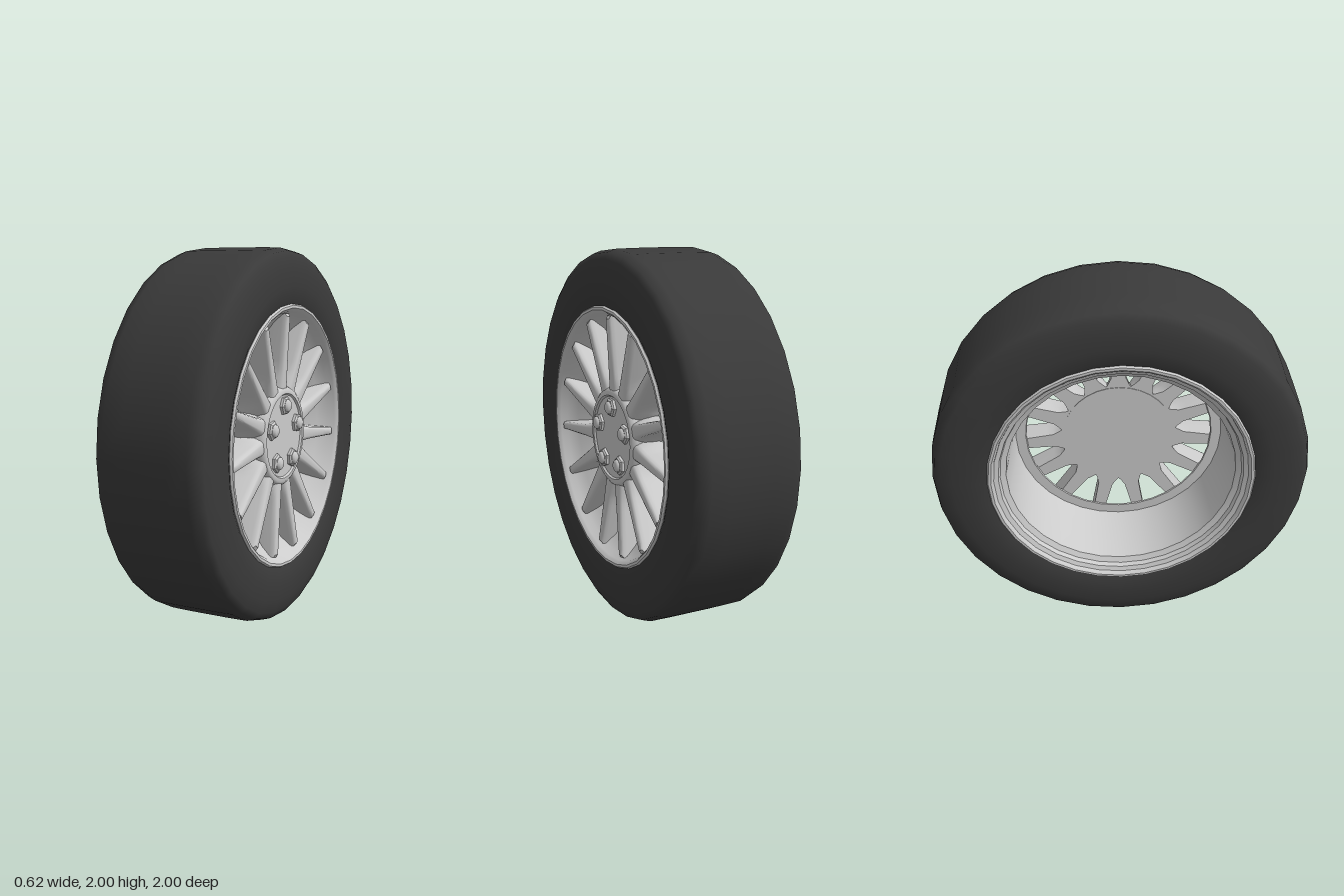
import * as THREE from 'three';
import { toCreasedNormals } from 'three/addons/utils/BufferGeometryUtils.js';

const metal = new THREE.MeshStandardMaterial({ color: 0xcccccc, side: THREE.DoubleSide });
const rubber = new THREE.MeshStandardMaterial({ color: 0x3a3a3a, side: THREE.DoubleSide });
const { lerp, smoothstep } = THREE.MathUtils;

// Turn a profile of [x, radius] pairs around the axle (x axis)
function turned(name, profile, material, crease, segments = 32) {
  const points = profile.map(([x, r]) => new THREE.Vector2(r, x));
  let geometry = new THREE.LatheGeometry(points, segments);
  if (crease) geometry = toCreasedNormals(geometry, crease);
  geometry.rotateZ(-Math.PI / 2);
  const mesh = new THREE.Mesh(geometry, material);
  mesh.name = name;
  return mesh;
}

// Deep radial fin: slim rounded front edge, flared root, tip buried in the barrel
function spokeGeometry() {
  const geometry = new THREE.BoxGeometry(1, 1, 1, 5, 10, 1);
  const p = geometry.attributes.position;
  const depth = [0, 0.4, 0.8, 0.92, 0.98, 1];
  const slim = [1.15, 1.08, 1, 0.92, 0.72, 0.5];
  for (let i = 0; i < p.count; i++) {
    const k = Math.round((p.getX(i) + 0.5) * 5);
    const t = p.getY(i) + 0.5;
    const r = lerp(0.24, k > 3 ? 0.64 : 0.655, t);
    const flare = 0.09 * (1 - smoothstep(r, 0.27, 0.36)) * (1 - depth[k]);
    const width = lerp(0.082, 0.046, t) * slim[k] + flare;
    p.setXYZ(i, lerp(0.12, lerp(0.258, 0.282, t), depth[k]), r, p.getZ(i) * width);
  }
  return toCreasedNormals(geometry, 0.7);
}

export function createModel() {
  const model = new THREE.Group();
  model.name = 'wheel';
  const wheel = new THREE.Group();
  wheel.name = 'wheelAssembly';
  wheel.position.y = 1;
  model.add(wheel);

  // Tyre, symmetric about the middle
  const half = [[0.285, 0.69], [0.302, 0.73], [0.312, 0.80], [0.305, 0.89], [0.292, 0.95],
    [0.272, 0.982], [0.225, 0.998], [0.12, 1]];
  const mirrored = half.map(([x, r]) => [-x, r]);
  wheel.add(turned('tyre', [...mirrored, ...half.reverse()], rubber));

  // Rim: outer lip, dished front barrel, spoke seat ring, rear barrel and inner lip
  wheel.add(turned('rim', [
    [0.27, 0.69], [0.295, 0.707], [0.306, 0.70], [0.306, 0.686], [0.296, 0.676],
    [0.285, 0.668], [0.25, 0.652], [0.20, 0.605], [0.155, 0.545], [0.12, 0.515],
    [0.115, 0.52], [0.115, 0.575], [0, 0.59], [-0.235, 0.61],
    [-0.25, 0.64], [-0.275, 0.648], [-0.285, 0.672],
    [-0.298, 0.676], [-0.306, 0.686], [-0.306, 0.70], [-0.295, 0.707], [-0.27, 0.69],
  ], metal, 0.65));

  // Hub with raised border and flared back
  wheel.add(turned('hub', [
    [0.115, 0], [0.115, 0.31], [0.14, 0.305], [0.19, 0.28], [0.24, 0.272], [0.257, 0.262],
    [0.265, 0.25], [0.265, 0.23], [0.255, 0.222], [0.255, 0],
  ], metal, 0.65));

  // Fifteen spokes
  const spokes = new THREE.Group();
  spokes.name = 'spokes';
  const fin = spokeGeometry();
  for (let i = 0; i < 15; i++) {
    const spoke = new THREE.Mesh(fin, metal);
    spoke.name = 'spoke';
    spoke.rotation.x = (i / 15) * Math.PI * 2;
    spokes.add(spoke);
  }
  wheel.add(spokes);

  // Five wheel nuts: hexagonal base with a domed cap
  for (let i = 0; i < 5; i++) {
    const a = (i / 5) * Math.PI * 2;
    const nut = new THREE.Group();
    nut.name = 'wheelNut';
    const base = turned('nutBase', [[0, 0.052], [0.016, 0.052], [0.024, 0.042], [0.024, 0]], metal, 0.3, 6);
    const cap = turned('nutCap', [[0.02, 0.035], [0.032, 0.033], [0.04, 0.022], [0.043, 0]], metal, 0, 16);
    nut.add(base, cap);
    nut.position.set(0.253, Math.cos(a) * 0.165, Math.sin(a) * 0.165);
    nut.rotation.x = a;
    wheel.add(nut);
  }
  return model;
}
